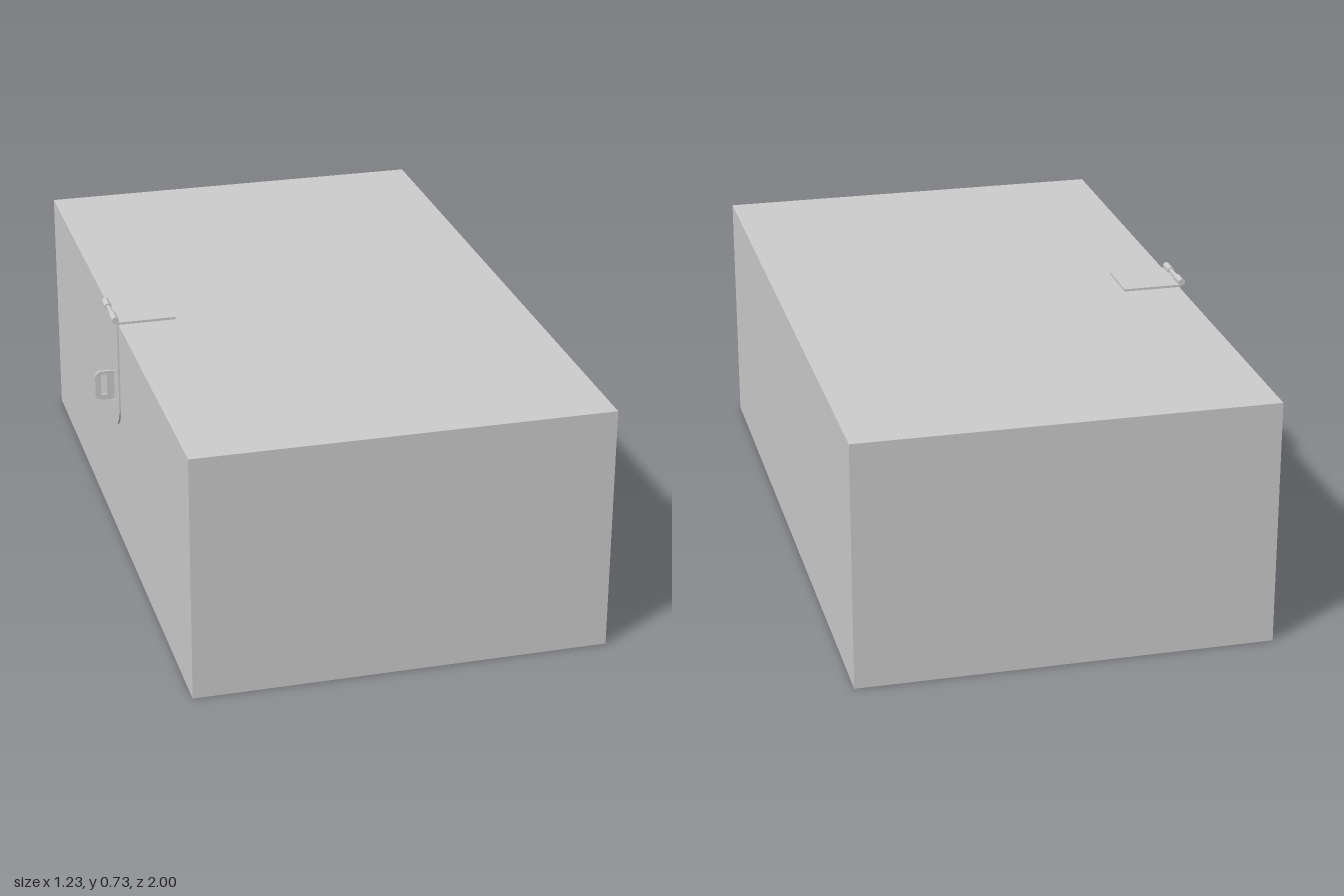
import * as THREE from 'three';

const material = new THREE.MeshStandardMaterial({ color: 0xcccccc });
const WALL = -0.557; // x of the side wall that carries the hasp
const TOP = 0.708;

function add(parent, name, geometry, x = 0, y = 0, z = 0) {
  const mesh = new THREE.Mesh(geometry, material);
  mesh.name = name;
  mesh.position.set(x, y, z);
  parent.add(mesh);
  return mesh;
}

function rectHole(x0, y0, x1, y1) {
  const hole = new THREE.Path();
  hole.moveTo(x0, y0).lineTo(x0, y1).lineTo(x1, y1).lineTo(x1, y0).closePath();
  return hole;
}

function extrude(shape, depth) {
  return new THREE.ExtrudeGeometry(shape, { depth, bevelEnabled: false, curveSegments: 12 });
}

export function createModel() {
  const model = new THREE.Group();
  model.name = 'box';

  // Solid rectangular body
  const width = 0.615 - WALL;
  add(model, 'body', new THREE.BoxGeometry(width, TOP, 2), WALL + width / 2, TOP / 2, 0);

  const hasp = new THREE.Group();
  hasp.name = 'hasp';
  model.add(hasp);

  // Hinge leaf lying on the top
  add(hasp, 'hingeLeaf', new THREE.BoxGeometry(0.168, 0.007, 0.156), WALL + 0.084, TOP + 0.0035, 0);

  // Hinge pin with a knuckle at each end
  const pin = add(hasp, 'hingePin', new THREE.CylinderGeometry(0.006, 0.006, 0.15, 16), -0.565, 0.722, 0);
  pin.rotation.x = Math.PI / 2;
  for (const side of [-1, 1]) {
    const knuckle = add(hasp, 'hingeKnuckle', new THREE.CylinderGeometry(0.01, 0.01, 0.048, 20), -0.565, 0.722, side * 0.054);
    knuckle.rotation.x = Math.PI / 2;
  }

  // Hanging strap with a rounded end and a slot for the staple
  const r = 0.078;
  const strap = new THREE.Shape();
  strap.moveTo(r, 0.718).lineTo(-r, 0.718).lineTo(-r, 0.368 + r);
  strap.absarc(0, 0.368 + r, r, Math.PI, Math.PI * 2, false);
  strap.closePath();
  strap.holes.push(rectHole(-0.01, 0.438, 0.01, 0.542));
  const strapMesh = add(hasp, 'strap', extrude(strap, 0.005), WALL, 0, 0);
  strapMesh.rotation.y = -Math.PI / 2;

  // Staple loop standing out through the slot
  const x0 = -0.617, y0 = 0.445, y1 = 0.535, c = 0.02;
  const staple = new THREE.Shape();
  staple.moveTo(WALL, y0).lineTo(WALL, y1).lineTo(x0 + c, y1);
  staple.absarc(x0 + c, y1 - c, c, Math.PI / 2, Math.PI, false);
  staple.lineTo(x0, y0 + c);
  staple.absarc(x0 + c, y0 + c, c, Math.PI, Math.PI * 1.5, false);
  staple.closePath();
  staple.holes.push(rectHole(-0.6, 0.461, -0.582, 0.524));
  add(hasp, 'staple', extrude(staple, 0.008), 0, 0, -0.004);

  return model;
}
